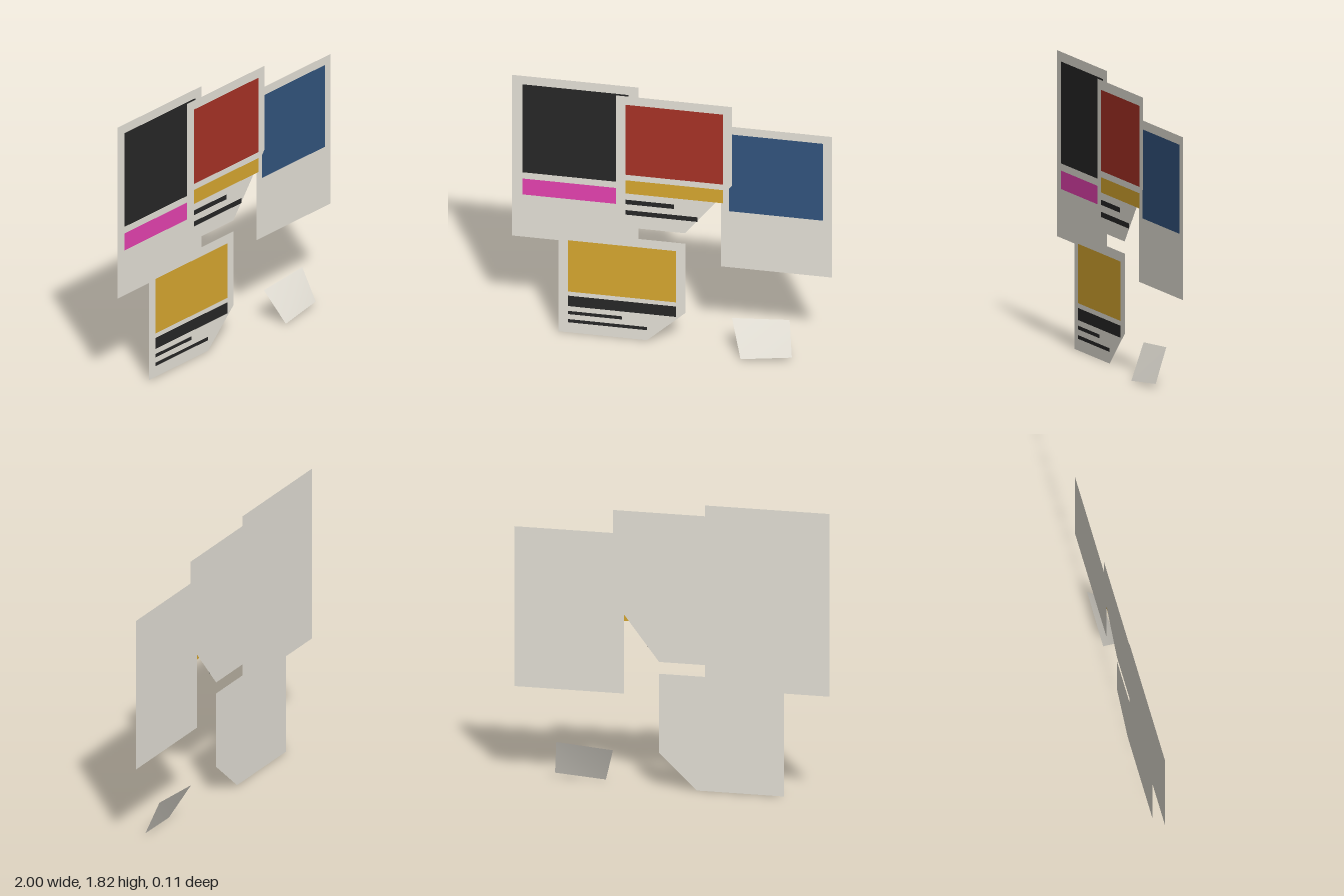
import * as THREE from 'three';

const mat = (name, color) => {
  const m = new THREE.MeshStandardMaterial({ color, side: THREE.DoubleSide });
  m.name = name;
  return m;
};

export function createModel() {
  const paper = mat('paper', 0xe8e4da);
  const black = mat('blackInk', 0x272727);
  const red = mat('redInk', 0xa93226);
  const blue = mat('blueInk', 0x33557f);
  const ochre = mat('ochreInk', 0xd9a930);
  const magenta = mat('magentaInk', 0xe843b2);

  const model = new THREE.Group();
  model.name = 'posterWall';

  // Flat sheet cut to an outline
  const sheet = (parent, name, outline, z, material) => {
    const shape = new THREE.Shape(outline.map(([x, y]) => new THREE.Vector2(x, y)));
    const mesh = new THREE.Mesh(new THREE.ShapeGeometry(shape), material);
    mesh.name = name;
    mesh.position.z = z;
    parent.add(mesh);
  };
  const rect = (x0, x1, y0, y1) => [[x0, y0], [x1, y0], [x1, y1], [x0, y1]];

  // Poster: paper with printed blocks just in front of it
  const poster = (name, z, outline, prints) => {
    const group = new THREE.Group();
    group.name = name;
    sheet(group, name + 'Paper', outline, z, paper);
    for (const [part, material, ...r] of prints) sheet(group, part, rect(...r), z + 0.0015, material);
    model.add(group);
  };

  poster('leftPoster', -0.058, rect(-1, -0.21, 0.655, 1.815), [
    ['picture', black, -0.935, -0.27, 1.12, 1.755],
    ['banner', magenta, -0.935, -0.27, 0.96, 1.075],
  ]);

  poster('rightPoster', -0.058, rect(0.305, 1, 0.585, 1.6), [
    ['picture', blue, 0.357, 0.945, 0.99, 1.545],
  ]);

  // Torn lower corner, with the banner reaching past the tear
  poster('middlePoster', -0.054,
    [[-0.35, 0.8], [0.083, 0.8], [0.375, 1.175], [0.375, 1.745], [-0.35, 1.745]], [
      ['picture', red, -0.29, 0.32, 1.18, 1.685],
      ['banner', ochre, -0.29, 0.32, 1.045, 1.14],
      ['textBar', black, -0.29, 0.015, 0.968, 1.0],
      ['textBar', black, -0.29, 0.16, 0.892, 0.925],
    ]);

  poster('lowerPoster', -0.054,
    [[-0.71, 0], [-0.155, 0], [0.085, 0.225], [0.085, 0.725], [-0.71, 0.725]], [
      ['picture', ochre, -0.65, 0.025, 0.295, 0.665],
      ['banner', black, -0.65, 0.025, 0.19, 0.265],
      ['textBar', black, -0.65, -0.31, 0.132, 0.155],
      ['textBar', black, -0.65, -0.155, 0.073, 0.096],
    ]);

  // Fallen scrap leaning forward at the foot of the wall
  const scrap = new THREE.BufferGeometry();
  scrap.setAttribute('position', new THREE.Float32BufferAttribute([
    0.45, 0, 0.055, 0.765, 0.03, 0.025, 0.735, 0.248, -0.058, 0.375, 0.22, -0.058,
  ], 3));
  scrap.setIndex([0, 1, 2, 0, 2, 3]);
  scrap.computeVertexNormals();
  const scrapMesh = new THREE.Mesh(scrap, paper);
  scrapMesh.name = 'fallenScrap';
  model.add(scrapMesh);

  return model;
}
